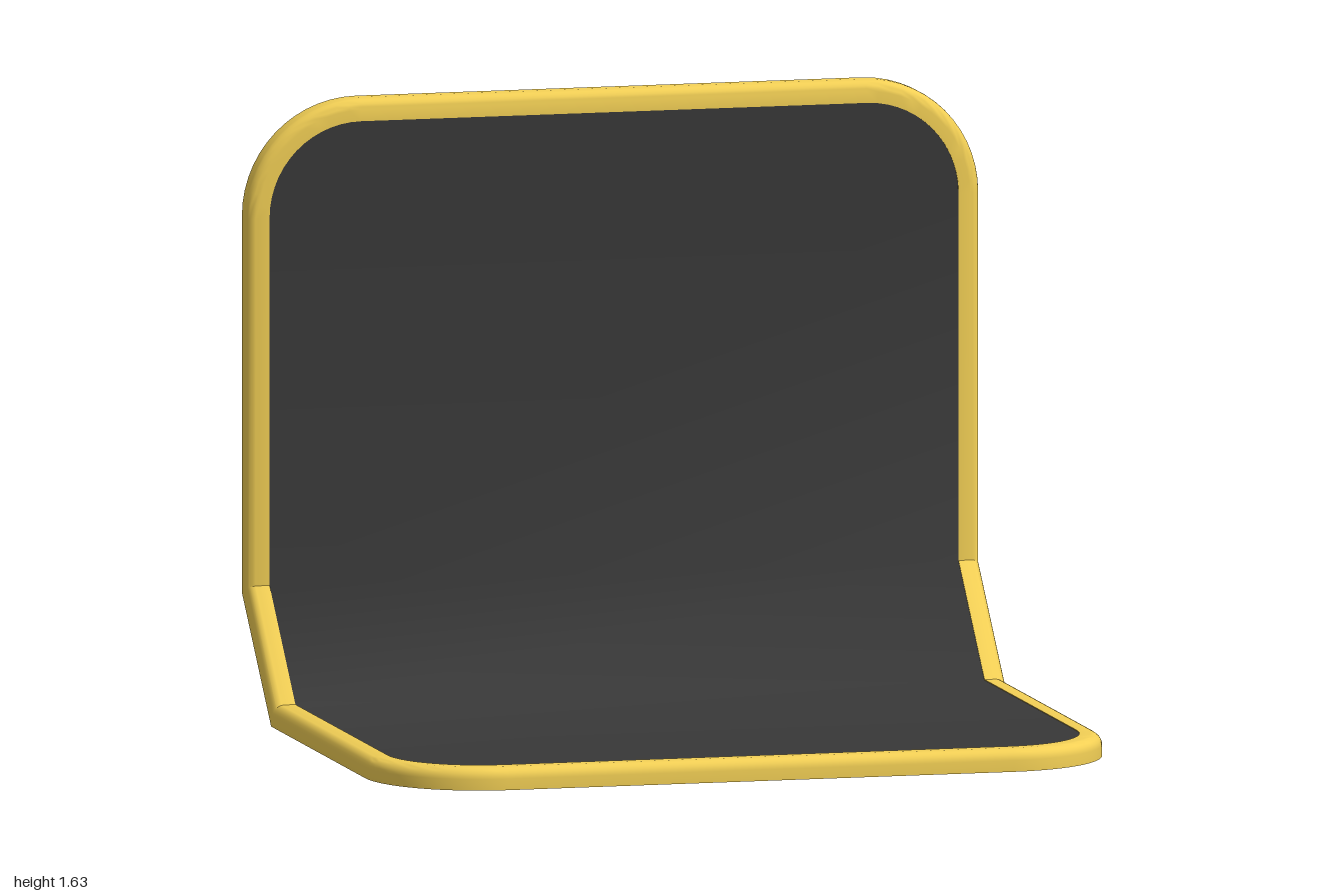
import * as THREE from 'three';
import { toCreasedNormals } from 'three/addons/utils/BufferGeometryUtils.js';

const V = (x, y, z) => new THREE.Vector3(x, y, z);
const R = 0.31, CX = 0.69, T = 0.06, ARC = 14;

// Half of the outline, from front to top: base point, inward direction, thickness direction
function outline() {
  const list = [];
  for (let i = 0; i <= ARC; i++) {
    const a = (i / ARC) * Math.PI / 2, dir = V(Math.sin(a), 0, Math.cos(a));
    list.push({ base: V(CX, 0, 0.5).addScaledVector(dir, R), inward: dir.negate(), up: V(0, 1, 0) });
  }
  // mitred bends between seat, slope and back
  const m = Math.tan(Math.PI / 8);
  list.push({ base: V(1, 0, -0.5), inward: V(-1, 0, 0), up: V(0, 1, m) });
  list.push({ base: V(1, 0.315, -0.815 + 0.005), inward: V(-1, 0, 0), up: V(0, m, 1) });
  for (let i = 0; i <= ARC; i++) {
    const a = (i / ARC) * Math.PI / 2, dir = V(Math.cos(a), Math.sin(a), 0);
    list.push({ base: V(CX, 1.32, -0.81).addScaledVector(dir, R), inward: dir.negate(), up: V(0, 0, 1) });
  }
  return list;
}

const place = (s, d, h) => s.base.clone().addScaledVector(s.inward, d).addScaledVector(s.up, h);

function build(points, index) {
  const g = new THREE.BufferGeometry().setFromPoints(points);
  g.setIndex(index);
  g.computeVertexNormals();
  return g;
}

// Rim: a bar with one rounded outer edge, swept around the closed outline
function rimGeometry(half) {
  const mirror = s => ({
    base: s.base.clone().setX(-s.base.x),
    inward: s.inward.clone().setX(-s.inward.x),
    up: s.up,
  });
  const loop = [...half, ...half.map(mirror).reverse()];
  const section = [[0, 0], [T, 0], [T, T]];
  for (let i = 0; i <= 6; i++) {
    const a = (i / 6) * Math.PI / 2;
    section.push([0.03 - 0.03 * Math.sin(a), 0.03 + 0.03 * Math.cos(a)]);
  }
  const n = section.length, points = [], index = [];
  loop.forEach((s, i) => section.forEach(([d, h], k) => {
    points.push(place(s, d, h));
    const j = (i + 1) % loop.length, l = (k + 1) % n;
    const a = i * n + k, b = i * n + l, c = j * n + l, e = j * n + k;
    index.push(a, b, c, a, c, e);
  }));
  return toCreasedNormals(build(points, index), 0.6);
}

// One face of the panel, spanning from side to side at a given height in the rim
function sheetGeometry(half, h, flip) {
  const points = [], index = [];
  half.forEach((s, i) => {
    const p = place(s, 0.055, h);
    points.push(V(-p.x, p.y, p.z), p);
    if (i === half.length - 1) return;
    const a = 2 * i, b = a + 1, c = a + 3, d = a + 2;
    index.push(...(flip ? [a, c, b, a, d, c] : [a, b, c, a, c, d]));
  });
  return build(points, index);
}

export function createModel() {
  const group = new THREE.Group();
  group.name = 'bentPanelSeat';
  const yellow = new THREE.MeshStandardMaterial({ color: 0xf2cf55 });
  const dark = new THREE.MeshStandardMaterial({ color: 0x383838 });
  const half = outline();
  const add = (name, geometry, material) => {
    const mesh = new THREE.Mesh(geometry, material);
    mesh.name = name;
    group.add(mesh);
  };
  add('rim', rimGeometry(half), yellow);
  add('panelFront', sheetGeometry(half, T - 0.002, false), dark);
  add('panelBack', sheetGeometry(half, 0.002, true), dark);
  return group;
}
